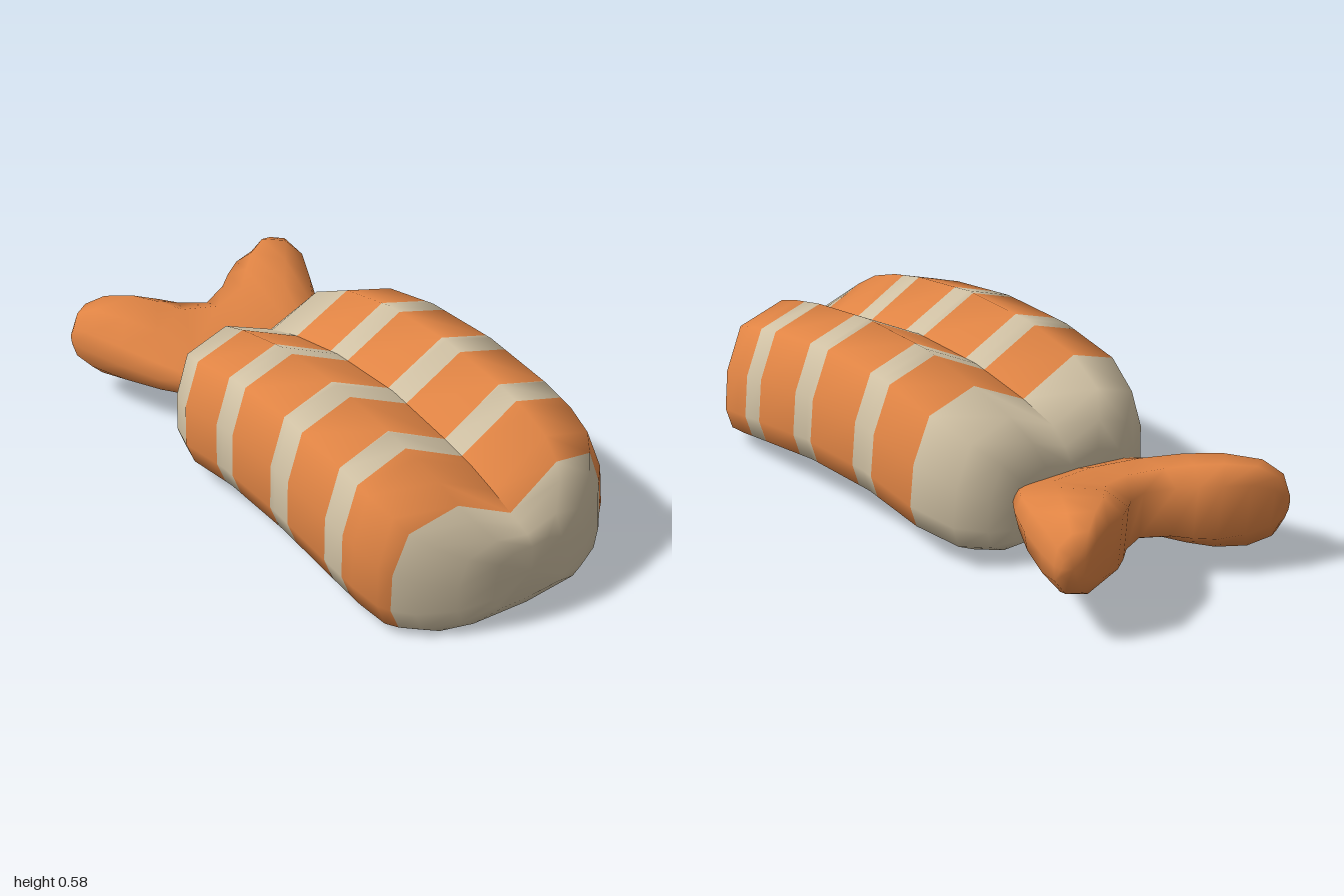
import * as THREE from 'three';

const orange = new THREE.MeshStandardMaterial({ color: 0xe08444 });
orange.name = 'orange';
const cream = new THREE.MeshStandardMaterial({ color: 0xd0c1a4 });
cream.name = 'cream';

// Skin rings whose last point repeats the first; rings run clockwise seen from the first end.
// materialOf(i) picks the material of strip i, isSharp(i) keeps a crease along the seam of ring i.
function loft(rings, materialOf, isSharp) {
  const n = rings[0].length;
  const points = rings.flat();
  const index = [];
  const geometry = new THREE.BufferGeometry();
  const at = (i, j) => i * n + (j === n - 1 && !isSharp(i) ? 0 : j);
  const band = (material, build) => {
    const start = index.length;
    build();
    geometry.addGroup(start, index.length - start, material);
  };
  const cap = (i, isFirst) => {
    const centre = points.length;
    points.push(rings[i].reduce((s, p) => s.map((v, k) => v + p[k] / n), [0, 0, 0]));
    for (let j = 0; j < n - 1; j++) {
      if (isFirst) index.push(centre, at(i, j + 1), at(i, j));
      else index.push(centre, at(i, j), at(i, j + 1));
    }
  };
  const last = rings.length - 1;
  band(materialOf(0), () => cap(0, true));
  for (let i = 0; i < last; i++) {
    band(materialOf(i), () => {
      for (let j = 0; j < n - 1; j++) {
        const a = at(i, j), b = at(i, j + 1), c = at(i + 1, j + 1), d = at(i + 1, j);
        index.push(a, b, d, b, c, d);
      }
    });
  }
  band(materialOf(last - 1), () => cap(last, false));
  geometry.setAttribute('position', new THREE.Float32BufferAttribute(points.flat(), 3));
  geometry.setIndex(index);
  geometry.computeVertexNormals();
  return geometry;
}

// Body stations: z, half width, bottom, ridge height, groove height
const stations = [
  [0.99, 0.14, 0.07, 0.255, 0.25],
  [0.965, 0.25, 0.03, 0.305, 0.28],
  [0.925, 0.36, 0.01, 0.375, 0.3],
  [0.885, 0.41, 0.005, 0.415, 0.315],
  [0.8, 0.44, 0.01, 0.465, 0.35],
  [0.7, 0.46, 0.03, 0.5, 0.385],
  [0.57, 0.465, 0.05, 0.53, 0.415],
  [0.3, 0.465, 0.085, 0.565, 0.46],
  [0, 0.46, 0.09, 0.56, 0.455],
  [-0.235, 0.455, 0.06, 0.515, 0.415],
  [-0.38, 0.4, 0.035, 0.455, 0.375],
  [-0.44, 0.31, 0.035, 0.38, 0.325],
  [-0.475, 0.24, 0.06, 0.3, 0.275],
];

// Cream bands along z, everything else is orange
const creamBands = [[0.885, 2], [0.565, 0.65], [0.275, 0.37], [-0.04, 0.055], [-2, -0.235]];

function stationAt(z) {
  const i = Math.max(1, stations.findIndex((s) => s[0] <= z));
  const a = stations[i - 1], b = stations[i];
  const t = (a[0] - z) / (a[0] - b[0]);
  return a.map((v, k) => THREE.MathUtils.lerp(v, b[k], t));
}

// Two-lobed cross-section that starts and ends in the groove; the nose sections bow backwards
function bodyRing([z, w, bottom, ridge, groove]) {
  const h = ridge - bottom;
  const bow = z > 0.85 ? 0.35 : 0;
  const half = [
    [0.46, 1], [0.85, 0.88], [0.98, 0.55], [1, 0.24], [0.94, 0.07], [0.78, 0],
  ].map(([u, v]) => [u * w, bottom + v * h, z - bow * (u * w) ** 2]);
  const mirrored = half.map(([x, y, pz]) => [-x, y, pz]).reverse();
  return [[0, groove, z], ...half, [0, bottom, z], ...mirrored, [0, groove, z]];
}

function makeBody() {
  const cuts = creamBands.flat().filter((z) => Math.abs(z) < 1);
  const zs = [...new Set([...stations.map((s) => s[0]), ...cuts])].sort((a, b) => b - a);
  const isCream = (z) => creamBands.some(([lo, hi]) => z > lo && z < hi);
  const geometry = loft(
    zs.map((z) => bodyRing(stationAt(z))),
    (i) => (isCream((zs[i] + zs[i + 1]) / 2) ? 1 : 0),
    (i) => zs[i] < 0.85 && zs[i] > -0.36,
  );
  const body = new THREE.Mesh(geometry, [orange, cream]);
  body.name = 'stripedBody';
  // The body lies slightly turned and rolled
  body.rotation.set(0, 0.08, 0.04);
  body.position.set(0.006, 0.005, 0);
  return body;
}

// Tail sections from the middle to a tip:
// inner x, z, outer x, z, inner bottom, top, outer bottom, top
const tailSections = [
  [0, -0.785, 0, -0.4, 0.1, 0.345, 0.13, 0.26],
  [0.09, -0.83, 0.22, -0.42, 0.1, 0.36, 0.13, 0.26],
  [0.14, -0.875, 0.32, -0.565, 0.095, 0.375, 0.11, 0.32],
  [0.2, -0.92, 0.39, -0.7, 0.095, 0.385, 0.1, 0.36],
  [0.285, -0.955, 0.445, -0.85, 0.11, 0.38, 0.1, 0.375],
  [0.355, -0.988, 0.46, -0.93, 0.15, 0.35, 0.13, 0.34],
  [0.39, -0.985, 0.457, -0.96, 0.19, 0.28, 0.19, 0.28],
];

// Rounded outline: 0 to 1 from inner to outer edge and from bottom to top
const tailOutline = [
  [0, 0.2], [0, 0.82], [0.22, 1], [0.65, 0.97], [0.95, 0.76],
  [1, 0.5], [0.95, 0.26], [0.65, 0.03], [0.22, 0], [0, 0.2],
];

// One forked tail, swept from tip to tip
function makeTail() {
  const { lerp } = THREE.MathUtils;
  const ring = (side) => ([xi, zi, xo, zo, bi, ti, bo, to]) => tailOutline.map(([u, v]) => [
    side * lerp(xi, xo, u), lerp(lerp(bi, bo, u), lerp(ti, to, u), v), lerp(zi, zo, u),
  ]);
  const rings = [
    ...tailSections.slice(1).reverse().map(ring(-1)),
    ...tailSections.map(ring(1)),
  ];
  const tail = new THREE.Mesh(loft(rings, () => 0, () => false), [orange]);
  tail.name = 'forkedTail';
  tail.rotation.set(0, 0.02, 0.08);
  tail.position.set(-0.038, 0.005, 0);
  return tail;
}

export function createModel() {
  const model = new THREE.Group();
  model.name = 'stripedPrawn';
  model.add(makeBody(), makeTail());
  return model;
}
